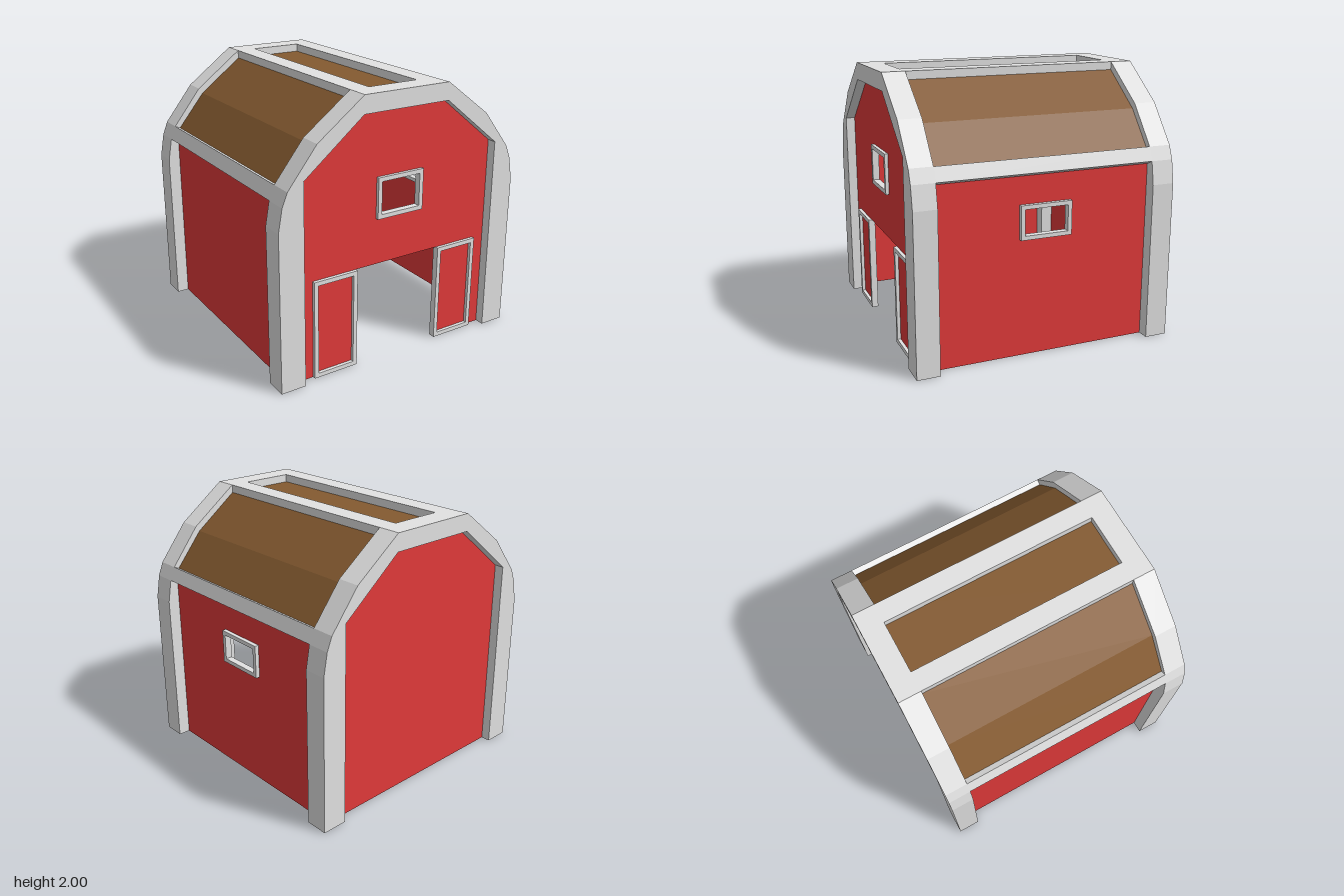
import * as THREE from 'three';

const red = new THREE.MeshStandardMaterial({ color: 0xe23a3a, side: THREE.DoubleSide });
red.name = 'barnRed';
const trim = new THREE.MeshStandardMaterial({ color: 0xe2e2e2 });
trim.name = 'paleTrim';
const brown = new THREE.MeshStandardMaterial({ color: 0x845a30, side: THREE.DoubleSide });
brown.name = 'roofBrown';

const HALF = 0.985;    // half depth of the barn
const INNER = 0.815;   // inner face of the end arches
const WALL_Z = 0.915;  // end wall plane
const WALL_X = 0.91;   // side wall plane

// Right half profiles, from the ground up
const OUTER = [[1, 0], [1, 1.18], [0.97, 1.35], [0.93, 1.45], [0.71, 1.73], [0.35, 2]];
const OPENING = [[0.81, 0], [0.81, 1.5], [0.35, 1.87]];
const ROOF = [[0.9, 1.42], [0.68, 1.69], [0.35, 1.94]];
const EAVE = [[0.92, 1.325], [0.97, 1.35], [0.93, 1.45], [0.885, 1.43]];
const RIDGE = [[0.2, 1.92], [0.35, 1.92], [0.35, 2], [0.2, 2]];

const mirrored = pts => [...pts, ...pts.map(([x, y]) => [-x, y]).reverse()];
const flip = pts => pts.map(([x, y]) => [-x, y]).reverse();
const rect = (w, h) => [[-w / 2, -h / 2], [w / 2, -h / 2], [w / 2, h / 2], [-w / 2, h / 2]];
const toShape = pts => new THREE.Shape(pts.map(p => new THREE.Vector2(...p)));

// Prism centred on z = 0
function prism(shape, depth) {
  const g = new THREE.ExtrudeGeometry(shape, { depth, bevelEnabled: false });
  g.translate(0, 0, -depth / 2);
  return g;
}

// Drops the faces lying on the ground, leaving the post feet open
function openFeet(geometry) {
  const src = geometry.index ? geometry.toNonIndexed() : geometry;
  const p = src.attributes.position;
  const keep = [];
  for (let i = 0; i < p.count; i += 3) {
    if (Math.max(p.getY(i), p.getY(i + 1), p.getY(i + 2)) > 0.001) keep.push(i, i + 1, i + 2);
  }
  src.clearGroups();
  src.setIndex(keep);
  return src;
}

// Rectangular trim frame around a window or door
function frame(w, h, border = 0.032, depth = 0.05) {
  const shape = toShape(rect(w, h));
  shape.holes.push(toShape(rect(w - 2 * border, h - 2 * border).reverse()));
  return prism(shape, depth);
}

export function createModel() {
  const model = new THREE.Group();
  model.name = 'barn';
  const add = (name, geometry, material, x = 0, y = 0, z = 0, ry = 0) => {
    const mesh = new THREE.Mesh(geometry, material);
    mesh.name = name;
    mesh.position.set(x, y, z);
    mesh.rotation.y = ry;
    model.add(mesh);
    return mesh;
  };

  // End arches with their corner posts
  const archShape = toShape([...mirrored(OUTER), ...mirrored(OPENING).reverse()]);
  const arch = openFeet(prism(archShape, HALF - INNER));
  add('frontArch', arch, trim, 0, 0, (HALF + INNER) / 2);
  add('backArch', arch, trim, 0, 0, -(HALF + INNER) / 2);

  // Front wall with a doorway and a window opening
  const doorway = [[-0.357, 0], [-0.357, 0.745], [0.357, 0.745], [0.357, 0]];
  const frontShape = toShape([...mirrored(OPENING), ...doorway]);
  frontShape.holes.push(toShape(rect(0.33, 0.25).map(([x, y]) => [x, y + 1.242])));
  add('frontWall', new THREE.ShapeGeometry(frontShape), red, 0, 0, WALL_Z);
  add('frontWindowFrame', frame(0.385, 0.305), trim, 0, 1.242, WALL_Z);

  // Solid back wall
  add('backWall', new THREE.ShapeGeometry(toShape(mirrored(OPENING))), red, 0, 0, -WALL_Z, Math.PI);

  // Side walls, only the left one has a window
  const sideRect = rect(2 * INNER, 1.36).map(([x, y]) => [x, y + 0.68]);
  const leftShape = toShape(sideRect);
  leftShape.holes.push(toShape(rect(0.34, 0.2).map(([x, y]) => [x, y + 0.995])));
  add('leftWall', new THREE.ShapeGeometry(leftShape), red, WALL_X, 0, 0, Math.PI / 2);
  add('leftWindowFrame', frame(0.39, 0.25, 0.03), trim, WALL_X + 0.005, 0.995, 0, Math.PI / 2);
  add('rightWall', new THREE.ShapeGeometry(toShape(sideRect)), red, -WALL_X, 0, 0, -Math.PI / 2);

  // Door frames either side of the doorway
  for (const s of [1, -1]) {
    add(s > 0 ? 'leftDoorFrame' : 'rightDoorFrame', frame(0.353, 0.745), trim, s * 0.532, 0.3725, WALL_Z);
  }

  // Roof panels: strips running front to back along the gambrel profile
  const line = mirrored(ROOF);
  for (let i = 0; i + 1 < line.length; i++) {
    const [ax, ay] = line[i], [bx, by] = line[i + 1];
    const panel = new THREE.PlaneGeometry(Math.hypot(bx - ax, by - ay), 2 * INNER);
    panel.rotateX(-Math.PI / 2);
    panel.rotateZ(Math.atan2(ay - by, ax - bx));
    add('roofPanel', panel, brown, (ax + bx) / 2, (ay + by) / 2, 0);
  }

  // Eave and ridge beams between the arches
  for (const [name, section] of [['EaveBeam', EAVE], ['RidgeBeam', RIDGE]]) {
    add('left' + name, prism(toShape(section), 2 * INNER), trim);
    add('right' + name, prism(toShape(flip(section)), 2 * INNER), trim);
  }

  return model;
}
